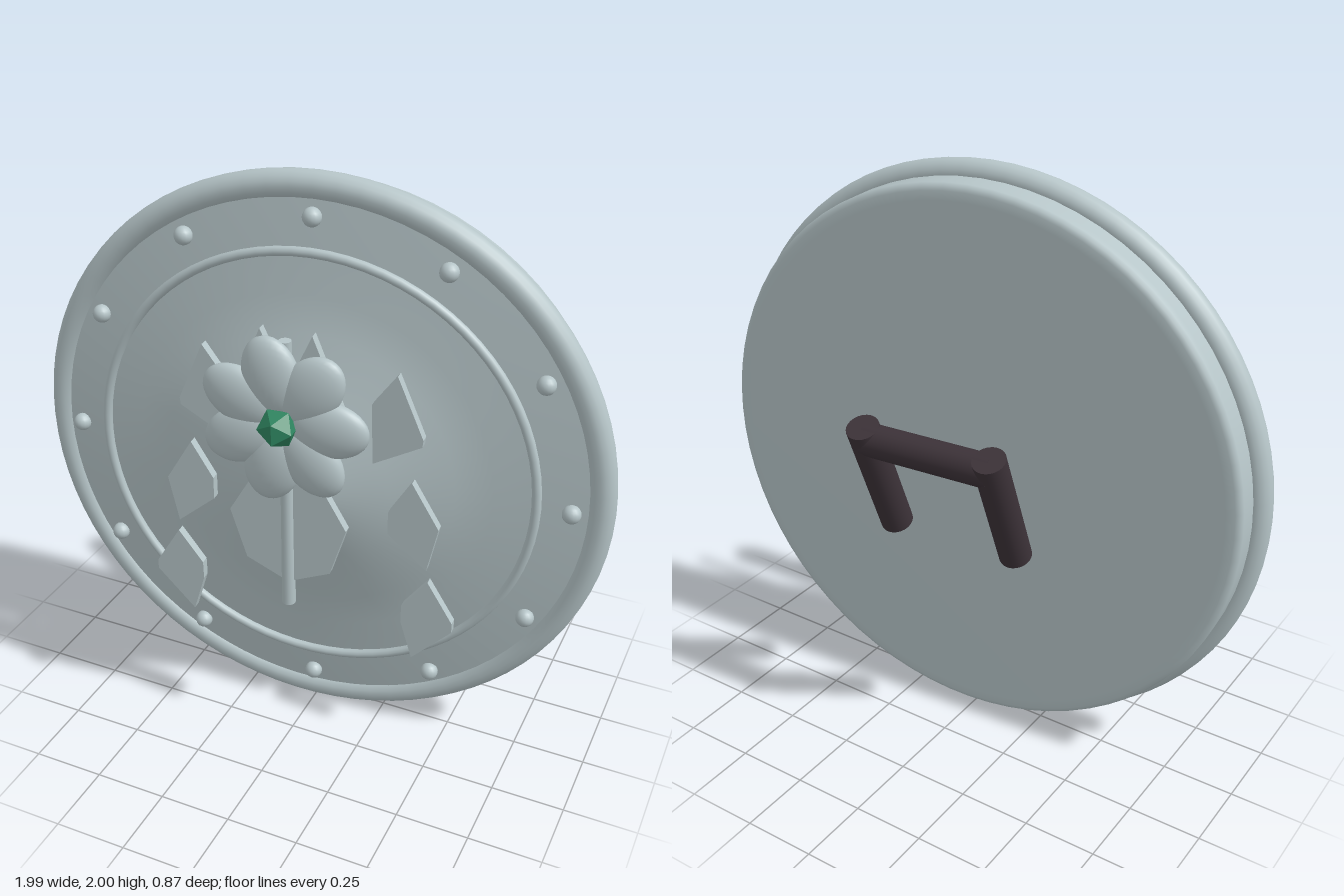
import * as THREE from 'three';

export function createModel() {
  const model = new THREE.Group();
  model.name = 'shield';
  const steel = new THREE.MeshStandardMaterial({ color: 0xb6c5c8 });
  steel.name = 'pale steel';
  const green = new THREE.MeshStandardMaterial({ color: 0x2f8560, flatShading: true });
  green.name = 'green gem';
  const grip = new THREE.MeshStandardMaterial({ color: 0x3c3238 });
  grip.name = 'dark leather';

  // Everything is built facing +z around the shield centre, then turned slightly
  const shield = new THREE.Group();
  shield.name = 'shieldBody';
  shield.position.set(0, 1, 0.03);
  shield.rotation.y = 0.07;
  model.add(shield);

  const add = (name, geometry, material, x = 0, y = 0, z = 0) => {
    const mesh = new THREE.Mesh(geometry, material);
    mesh.name = name;
    mesh.position.set(x, y, z);
    shield.add(mesh);
    return mesh;
  };
  const lathe = (points) =>
    new THREE.LatheGeometry(points.map(([r, h]) => new THREE.Vector2(r, h)), 72).rotateX(Math.PI / 2);

  // Backing disc with softened rear edge, and the domed face
  add('backPlate', lathe([[0, -0.145], [0.9, -0.145], [0.93, -0.144], [0.945, -0.138],
    [0.952, -0.125], [0.952, -0.1], [0.952, 0.02]]), steel);
  add('domedFace', lathe([[0.95, 0.025], [0.77, 0.05], [0.62, 0.066], [0.5, 0.088],
    [0.3, 0.15], [0.1, 0.215], [0.06, 0.22], [0, 0.22]]), steel);

  // Rims and rivets
  add('outerRim', new THREE.TorusGeometry(0.953, 0.046, 16, 80), steel);
  add('innerRing', new THREE.TorusGeometry(0.757, 0.016, 10, 80), steel, 0, 0, 0.058);
  for (let i = 0; i < 12; i++) {
    const a = (i * Math.PI) / 6;
    add('rivet', new THREE.SphereGeometry(0.031, 16, 10), steel,
      0.867 * Math.cos(a), 0.867 * Math.sin(a), 0.046);
  }

  // Flat leaves, mirrored left and right
  const leaf = (name, points, z) => {
    for (const side of [1, -1]) {
      const shape = new THREE.Shape(points.map(([x, y]) => new THREE.Vector2(side * x, y)));
      const geometry = new THREE.ExtrudeGeometry(shape, { depth: 0.03, bevelEnabled: false });
      add(name, geometry, steel, 0, 0, z);
    }
  };
  leaf('upperLeaf', [[0.325, 0.45], [0.413, 0.245], [0.41, 0.22], [0.25, 0.13], [0.245, 0.34]], 0.147);
  leaf('middleLeaf', [[0.382, 0.085], [0.475, -0.07], [0.44, -0.235], [0.306, -0.12], [0.306, -0.04]], 0.147);
  leaf('lowerLeaf', [[0.447, -0.28], [0.536, -0.425], [0.536, -0.46], [0.402, -0.6], [0.36, -0.46],
    [0.361, -0.395]], 0.147);
  leaf('stemLeaf', [[0, -0.315], [0.145, -0.25], [0.2, -0.075], [0.11, 0.08], [0, 0.08]], 0.25);
  leaf('sepal', [[0, 0.05], [0.14, 0.18], [0.18, 0.35], [0.085, 0.585], [0, 0.4]], 0.24);

  // Flower
  add('stem', new THREE.CylinderGeometry(0.02, 0.023, 0.96, 16), steel, 0, 0.08, 0.275);
  for (let i = 0; i < 7; i++) {
    const a = (i * 2 * Math.PI) / 7;
    const petal = add('petal', new THREE.SphereGeometry(1, 28, 18), steel,
      0.15 * Math.cos(a), 0.3 + 0.155 * Math.sin(a), 0.308);
    petal.scale.set(0.132, 0.094, 0.046);
    petal.rotation.z = a;
  }
  add('flowerGem', new THREE.IcosahedronGeometry(0.067, 0), green, 0, 0.298, 0.343);

  // Slanted rear handle
  const rod = (name, from, to) => {
    const a = new THREE.Vector3(...from);
    const d = new THREE.Vector3(...to).sub(a);
    const mesh = add(name, new THREE.CylinderGeometry(0.055, 0.055, d.length(), 24), grip);
    mesh.position.copy(a).addScaledVector(d, 0.5);
    mesh.quaternion.setFromUnitVectors(new THREE.Vector3(0, 1, 0), d.normalize());
  };
  for (const side of [1, -1]) {
    rod('handlePost', [side * 0.23, -0.225, -0.225], [side * 0.23, 0.205, -0.405]);
  }
  rod('handleBar', [-0.23, 0.155, -0.385], [0.23, 0.155, -0.385]);

  return model;
}
